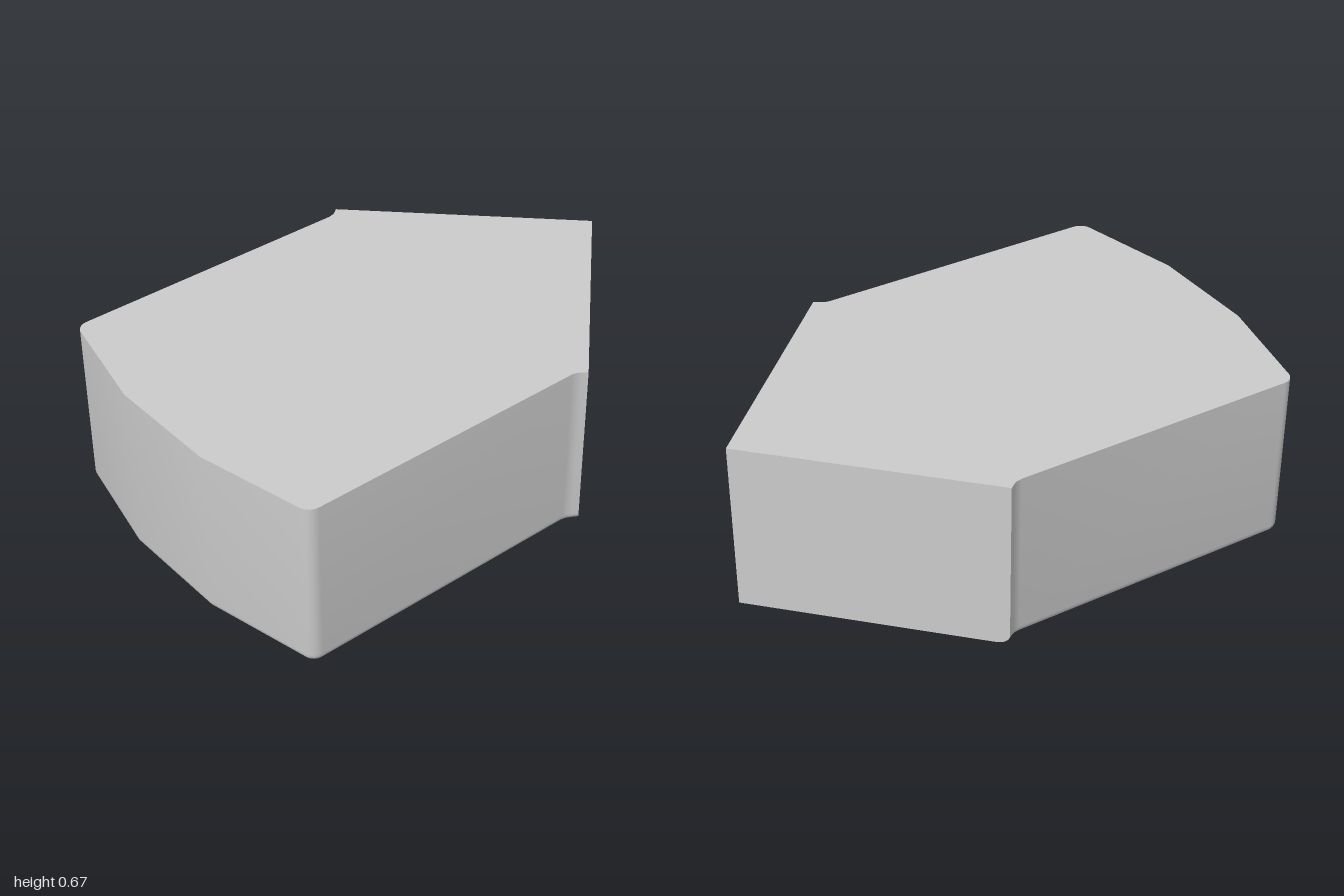
import * as THREE from 'three';
import { toCreasedNormals } from 'three/addons/utils/BufferGeometryUtils.js';

const HEIGHT = 0.67, BEVEL = 0.035, BEVEL_STEPS = 6;

// Half outline from the tip round the +z side: [x, z, outward x, outward z]
function halfOutline() {
  const half = [
    [1, 0, 0, 0],
    [0.30, 0.697, -1, 1], // flared lip, slides along the pointed face
    [0.28, 0.682, -0.3, 1],
    [0.265, 0.674, -0.1, 1],
    [0.245, 0.67, 0, 1],
  ];
  const r = 0.05, sweep = 1.355;
  for (let i = 0; i <= 6; i++) { // rounded rear corner
    const a = Math.PI / 2 + (sweep * i) / 6, c = Math.cos(a), s = Math.sin(a);
    half.push([-0.861 + r * c, 0.62 + r * s, c, s]);
  }
  half.push([-1, 0.22, -1, 0.11]);
  return half;
}

function blockGeometry() {
  const half = halfOutline();
  const mirrored = half.slice(1).reverse().map(([x, z, u, v]) => [x, -z, u, -v]);
  const outline = [...half, ...mirrored];
  const n = outline.length;

  // Rings follow a quarter round up from the base, then the straight wall
  const levels = [];
  for (let i = 0; i <= BEVEL_STEPS; i++) {
    const a = (i / BEVEL_STEPS) * Math.PI / 2;
    levels.push([BEVEL * (1 - Math.cos(a)), BEVEL * (1 - Math.sin(a))]);
  }
  levels.push([HEIGHT, 0]);

  const positions = [], index = [];
  for (const [y, inset] of levels) {
    for (const [x, z, u, v] of outline) positions.push(x - u * inset, y, z - v * inset);
  }
  const top = (levels.length - 1) * n;
  const bottomCentre = levels.length * n, topCentre = bottomCentre + 1;
  positions.push(0, 0, 0, 0, HEIGHT, 0);

  for (let j = 0; j < n; j++) {
    const k = (j + 1) % n;
    for (let i = 0; i < levels.length - 1; i++) {
      const a = i * n + j, b = i * n + k;
      index.push(a, a + n, b, b, a + n, b + n);
    }
    index.push(bottomCentre, j, k, topCentre, top + k, top + j);
  }

  const geometry = new THREE.BufferGeometry();
  geometry.setAttribute('position', new THREE.Float32BufferAttribute(positions, 3));
  geometry.setIndex(index);
  return toCreasedNormals(geometry, 0.55);
}

export function createModel() {
  const group = new THREE.Group();
  group.name = 'pointedBlock';
  const body = new THREE.Mesh(blockGeometry(), new THREE.MeshStandardMaterial({ color: 0xcccccc }));
  body.name = 'body';
  group.add(body);
  return group;
}
